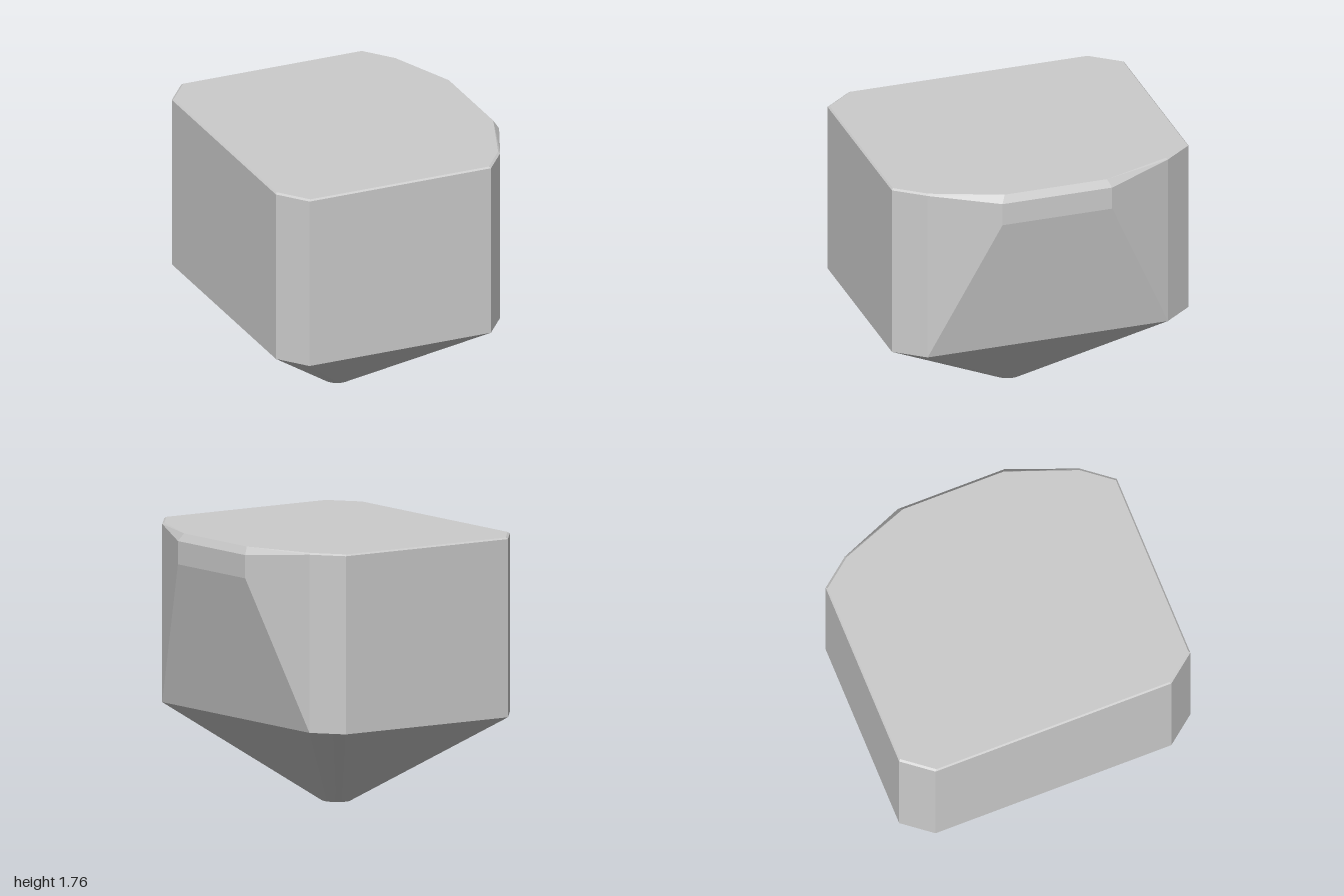
import * as THREE from 'three';
import { ConvexGeometry } from 'three/addons/geometries/ConvexGeometry.js';
import { toCreasedNormals } from 'three/addons/utils/BufferGeometryUtils.js';

const material = new THREE.MeshStandardMaterial({ color: 0xcccccc });

export function createModel() {
  const group = new THREE.Group();
  const points = [];
  const add = (x, y, z) => points.push(new THREE.Vector3(x, y, z));
  const addPair = (x, y, z) => { add(x, y, z); add(x, y, -z); };

  // Chamfered rectangular plan: straight walls with a fine bevel at the rim
  const plan = [[-0.88, 0.81], [-0.73, 1], [0.54, 1], [0.69, 0.81]];
  for (const [y, inset] of [[0.6, 0], [1.75, 0], [1.76, 0.01]]) {
    for (const [x, z] of plan) {
      addPair(x - Math.sign(x) * inset, y, z - inset);
    }
  }

  // Bulge leaning out of the +x wall, chamfered at the top
  addPair(0.88, 1.56, 0.37);
  addPair(0.88, 1.71, 0.37);
  addPair(0.85, 1.76, 0.345);

  // Small round outlet at the foot of the funnel
  const segments = 48;
  for (let i = 0; i < segments; i++) {
    const a = (i / segments) * Math.PI * 2;
    add(-0.095 + 0.09 * Math.cos(a), 0, 0.1 * Math.sin(a));
  }

  // One convex shell: flat walls, with smooth cone corners on the funnel
  const shell = new THREE.Mesh(toCreasedNormals(new ConvexGeometry(points), 0.15), material);
  shell.name = 'hopperShell';
  group.add(shell);
  return group;
}
